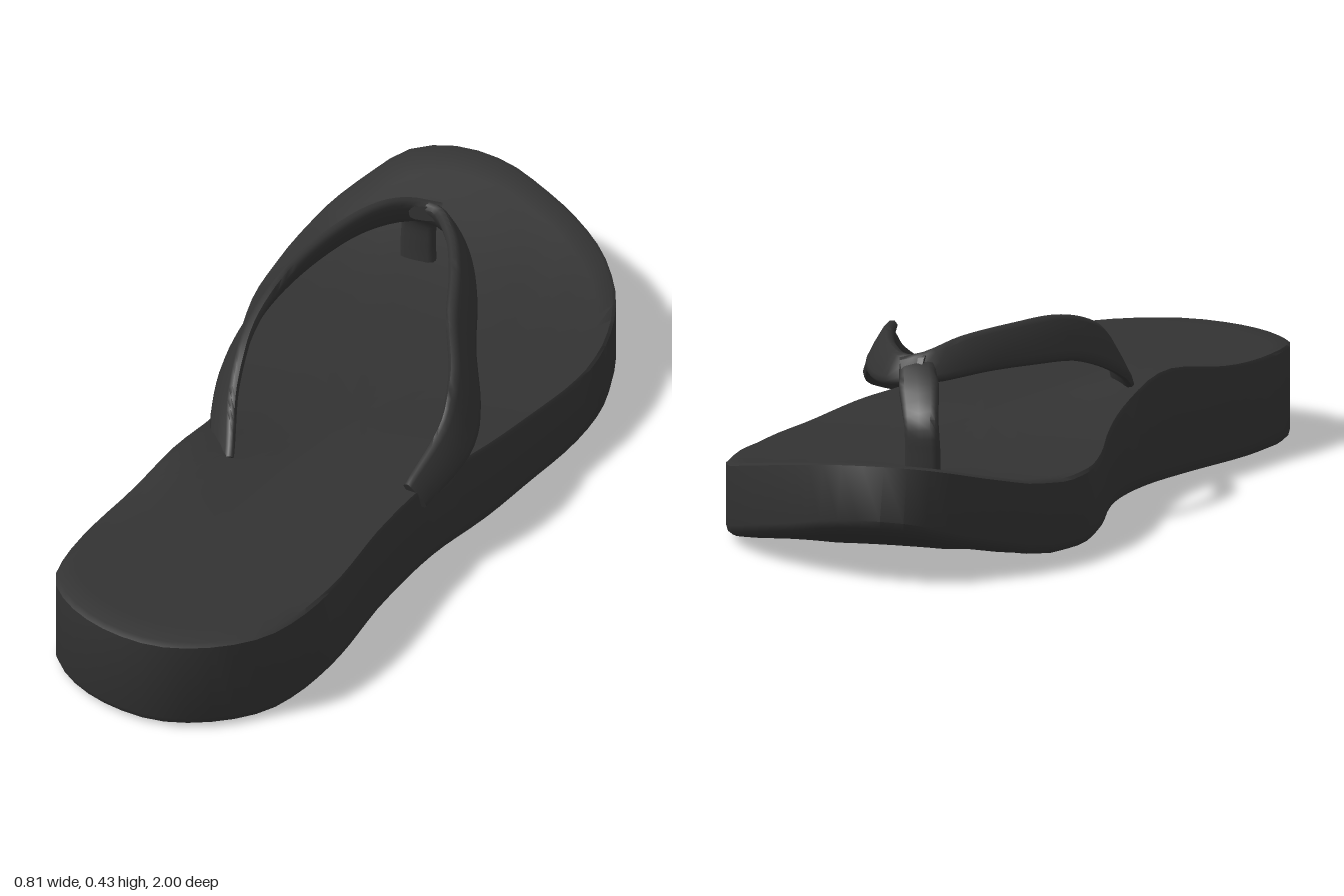
import * as THREE from 'three';
import { toCreasedNormals } from 'three/addons/utils/BufferGeometryUtils.js';

const V = (x, y, z) => new THREE.Vector3(x, y, z);

// Linear lookup in a table of [key, value] pairs
function lookup(table, k) {
  if (k <= table[0][0]) return table[0][1];
  for (let i = 1; i < table.length; i++) {
    const [k0, v0] = table[i - 1], [k1, v1] = table[i];
    if (k <= k1) return v0 + (v1 - v0) * (k - k0) / (k1 - k0);
  }
  return table[table.length - 1][1];
}

// Skin a list of closed loops that all have the same number of points
function skin(rows, crease) {
  const n = rows[0].length, index = [];
  for (let i = 0; i < rows.length - 1; i++) {
    for (let j = 0; j < n; j++) {
      const k = (j + 1) % n;
      const a = i * n + j, b = a + n, c = (i + 1) * n + k, d = i * n + k;
      index.push(a, b, c, a, c, d);
    }
  }
  const g = new THREE.BufferGeometry();
  g.setAttribute('position', new THREE.Float32BufferAttribute(rows.flat().flatMap(p => p.toArray()), 3));
  g.setIndex(index);
  return toCreasedNormals(g, crease);
}

// Sole plan, counter-clockwise from the toe tip: [x, z]
const OUTLINE = [
  [-0.08, -1], [-0.17, -0.97], [-0.235, -0.88], [-0.295, -0.76], [-0.335, -0.62], [-0.353, -0.45],
  [-0.335, -0.28], [-0.295, -0.1], [-0.275, 0.05], [-0.285, 0.22], [-0.33, 0.4], [-0.385, 0.58],
  [-0.405, 0.7], [-0.4, 0.81], [-0.34, 0.9], [-0.24, 0.97], [-0.12, 1], [-0.01, 0.97],
  [0.08, 0.9], [0.13, 0.8], [0.165, 0.65], [0.19, 0.42], [0.235, 0.2], [0.3, 0.02],
  [0.345, -0.14], [0.388, -0.3], [0.402, -0.45], [0.375, -0.62], [0.315, -0.74], [0.23, -0.84],
  [0.13, -0.92], [0.03, -0.98]
];
const SPINE = [[-1, -0.06], [-0.8, -0.02], [-0.45, 0.02], [0, 0.01], [0.4, -0.07], [0.7, -0.12], [1, -0.12]];
const TOP = [[-1, 0.25], [-0.85, 0.212], [-0.7, 0.178], [-0.55, 0.158], [-0.35, 0.154], [-0.15, 0.165],
  [0.05, 0.182], [0.3, 0.193], [0.6, 0.197], [1, 0.2]];
const BOTTOM = [[-1, 0.112], [-0.9, 0.075], [-0.8, 0.048], [-0.7, 0.024], [-0.6, 0.009], [-0.45, 0], [1, 0]];

function soleGeometry() {
  const curve = new THREE.CatmullRomCurve3(OUTLINE.map(([x, z]) => V(x, 0, z)), true, 'centripetal');
  const edge = curve.getSpacedPoints(96).slice(0, -1);
  // A loop shrunk towards the spine by s, with its height given by a rule
  const ring = (s, height, lean = 0) => edge.map(p => {
    const z = p.z * s;
    const x = lookup(SPINE, z) + (p.x - lookup(SPINE, p.z)) * s;
    const toe = Math.max(0, -p.z - 0.75) / 0.25;
    return V(x, height(x, z), z + lean * toe * s);
  });
  const top = (x, z) => {
    const side = THREE.MathUtils.clamp((lookup(SPINE, z) - 0.04 - x) / 0.17, 0, 1);
    return lookup(TOP, z) + 0.038 * side * Math.exp(-(((z - 0.28) / 0.17) ** 2));
  };
  const bottom = (x, z) => lookup(BOTTOM, z);
  const rows = [];
  for (const s of [0, 0.1, 0.25, 0.4, 0.55, 0.7, 0.82, 0.92, 0.985]) rows.push(ring(s, top, 0.03));
  rows.push(ring(1, (x, z) => top(x, z) - 0.006, 0.028));
  rows.push(ring(1, (x, z) => bottom(x, z) + 0.022));
  rows.push(ring(0.992, (x, z) => bottom(x, z) + 0.008));
  for (const s of [0.97, 0.9, 0.75, 0.55, 0.35, 0.15, 0]) rows.push(ring(s, bottom));
  return skin(rows, 0.7);
}

// Flat band along a path; wideDir(t, tangent) gives the broad direction,
// width(t) and thick(t) the full size of the section
function bandGeometry(points, wideDir, width, thick, steps = 36) {
  const curve = new THREE.CatmullRomCurve3(points, false, 'centripetal');
  const rows = [], sides = 12;
  const soften = v => Math.sign(v) * Math.abs(v) ** 0.6;
  for (let i = 0; i <= steps; i++) {
    const t = i / steps, c = curve.getPointAt(t), tan = curve.getTangentAt(t);
    const p = wideDir(t, tan);
    p.addScaledVector(tan, -p.dot(tan)).normalize();
    const q = p.clone().cross(tan);
    const loop = [];
    for (let j = 0; j < sides; j++) {
      const a = j / sides * Math.PI * 2;
      loop.push(c.clone()
        .addScaledVector(p, soften(Math.cos(a)) * width(t) / 2)
        .addScaledVector(q, soften(Math.sin(a)) * thick(t) / 2));
    }
    if (i === 0) rows.push(loop.map(() => c.clone()));
    rows.push(loop);
    if (i === steps) rows.push(loop.map(() => c.clone()));
  }
  return skin(rows, 0.9);
}

export function createModel() {
  const rubber = new THREE.MeshStandardMaterial({ color: 0x333333 });
  rubber.name = 'black rubber';
  const model = new THREE.Group();
  model.name = 'flipFlop';
  const add = (name, geometry, parent = model) => {
    const mesh = new THREE.Mesh(geometry, rubber);
    mesh.name = name;
    parent.add(mesh);
  };

  add('sole', soleGeometry());

  const strap = new THREE.Group();
  strap.name = 'strap';
  model.add(strap);

  // Side straps: upright bands whose upper edge leans inwards
  const arm = (name, side, points) => add(name, bandGeometry(points,
    (t, tan) => {
      const inward = V(0, 1, 0).cross(tan).setY(0).normalize();
      if (inward.x * side > 0) inward.negate();
      return V(0, 1, 0).addScaledVector(inward, 0.55);
    },
    t => lookup([[0, 0.06], [0.15, 0.085], [0.4, 0.1], [0.75, 0.115], [1, 0.07]], t),
    t => lookup([[0, 0.03], [0.5, 0.028], [1, 0.022]], t)), strap);
  arm('rightStrap', -1, [
    V(0.02, 0.36, -0.535), V(-0.04, 0.37, -0.515), V(-0.1, 0.385, -0.44), V(-0.165, 0.385, -0.3),
    V(-0.215, 0.37, -0.13), V(-0.242, 0.325, 0.02), V(-0.235, 0.265, 0.15), V(-0.203, 0.19, 0.27)
  ]);
  arm('leftStrap', 1, [
    V(-0.03, 0.365, -0.53), V(0.03, 0.36, -0.515), V(0.09, 0.357, -0.43), V(0.145, 0.355, -0.29),
    V(0.19, 0.335, -0.13), V(0.24, 0.285, 0.01), V(0.252, 0.24, 0.11), V(0.21, 0.18, 0.26)
  ]);

  // Toe post
  add('toePost', bandGeometry([
    V(-0.06, 0.15, -0.645), V(-0.062, 0.21, -0.648), V(-0.058, 0.27, -0.645),
    V(-0.04, 0.32, -0.6), V(-0.012, 0.365, -0.53), V(0, 0.375, -0.5)
  ], () => V(1, 0, 0.1),
  t => lookup([[0, 0.08], [0.4, 0.075], [0.7, 0.085], [1, 0.07]], t),
  () => 0.03, 20), strap);

  return model;
}
